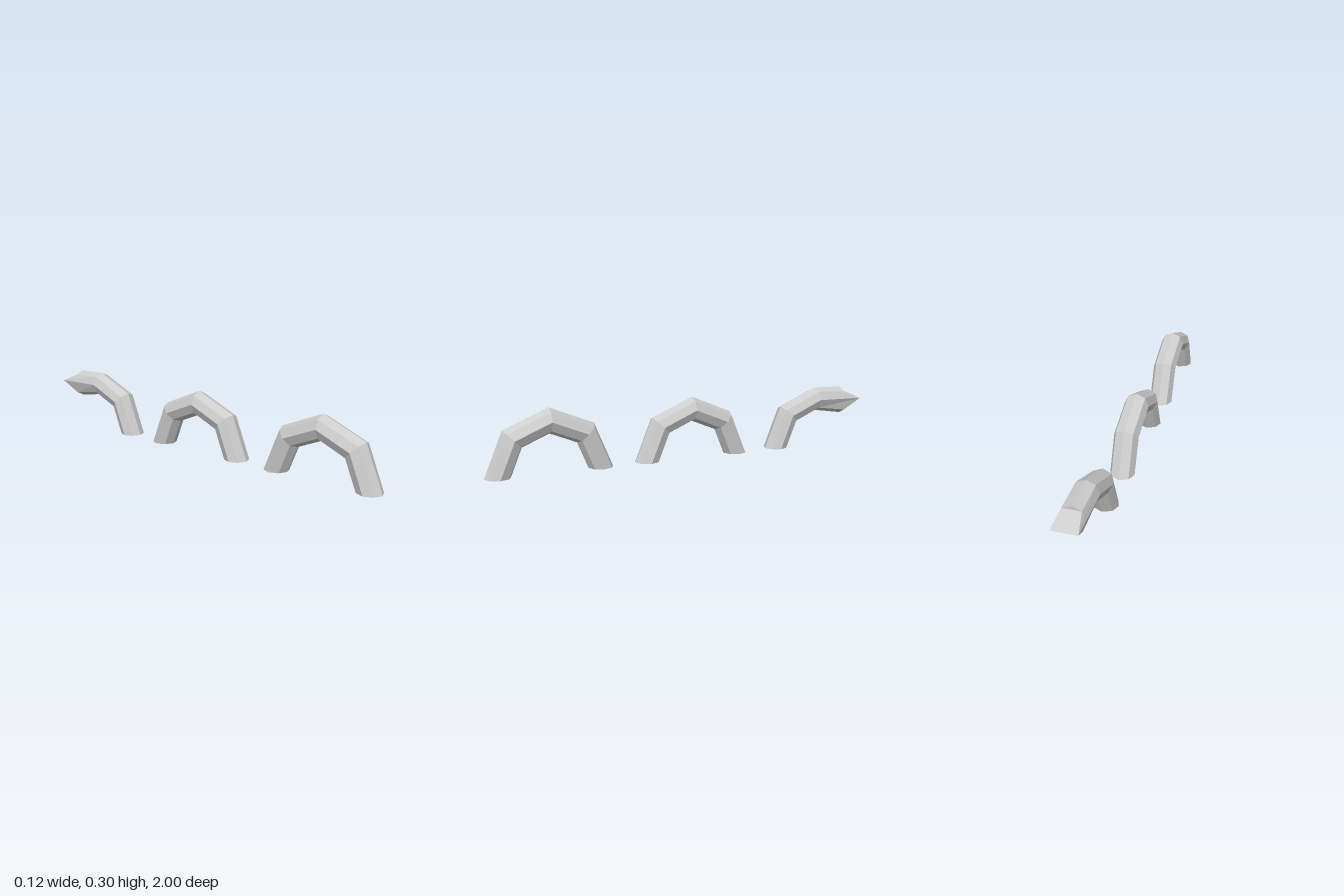
import * as THREE from 'three';

const R = 0.24, TUBE = 0.06, SIDES = 8;

const material = new THREE.MeshStandardMaterial({
  color: 0xcccccc, flatShading: true, side: THREE.DoubleSide,
});

// Faceted arch standing on its open ends, running from +z over to -z
function archGeometry(segments) {
  const g = new THREE.TorusGeometry(R, TUBE, SIDES, segments, segments * Math.PI / 4);
  g.rotateY(-Math.PI / 2);
  return g;
}

export function createModel() {
  const group = new THREE.Group();
  const add = (geometry, name, z) => {
    const mesh = new THREE.Mesh(geometry, material);
    mesh.name = name;
    mesh.position.z = z;
    group.add(mesh);
  };

  // Two full body arches
  add(archGeometry(4), 'frontArch', 0.70);
  add(archGeometry(4), 'middleArch', -0.015);

  // Tail: half an arch whose last ring is levelled out, with its sides drawn out to a wedge
  const tailZ = -0.74, segments = 3;
  const tail = archGeometry(segments);
  const pos = tail.attributes.position;
  const ring = [];
  for (let j = 0; j <= SIDES; j++) {
    const v = j / SIDES * Math.PI * 2;
    const p = new THREE.Vector3(-TUBE * Math.sin(v), 0.225 + 0.07 * Math.cos(v), -0.905 - tailZ);
    if (j === 2 || j === 6) p.set(j === 2 ? -0.061 : 0.056, 0.235, -1 - tailZ);
    pos.setXYZ(j * (segments + 1) + segments, p.x, p.y, p.z);
    ring.push(p);
  }
  tail.computeVertexNormals();
  add(tail, 'tailArch', tailZ);

  // Wedge-shaped cap closing the tail
  const cap = new THREE.BufferGeometry().setFromPoints(ring.slice(0, SIDES));
  cap.setIndex([0, 7, 1, 1, 7, 6, 1, 6, 2, 2, 6, 5, 2, 5, 3, 3, 5, 4]);
  cap.computeVertexNormals();
  add(cap, 'tailTip', tailZ);

  return group;
}
